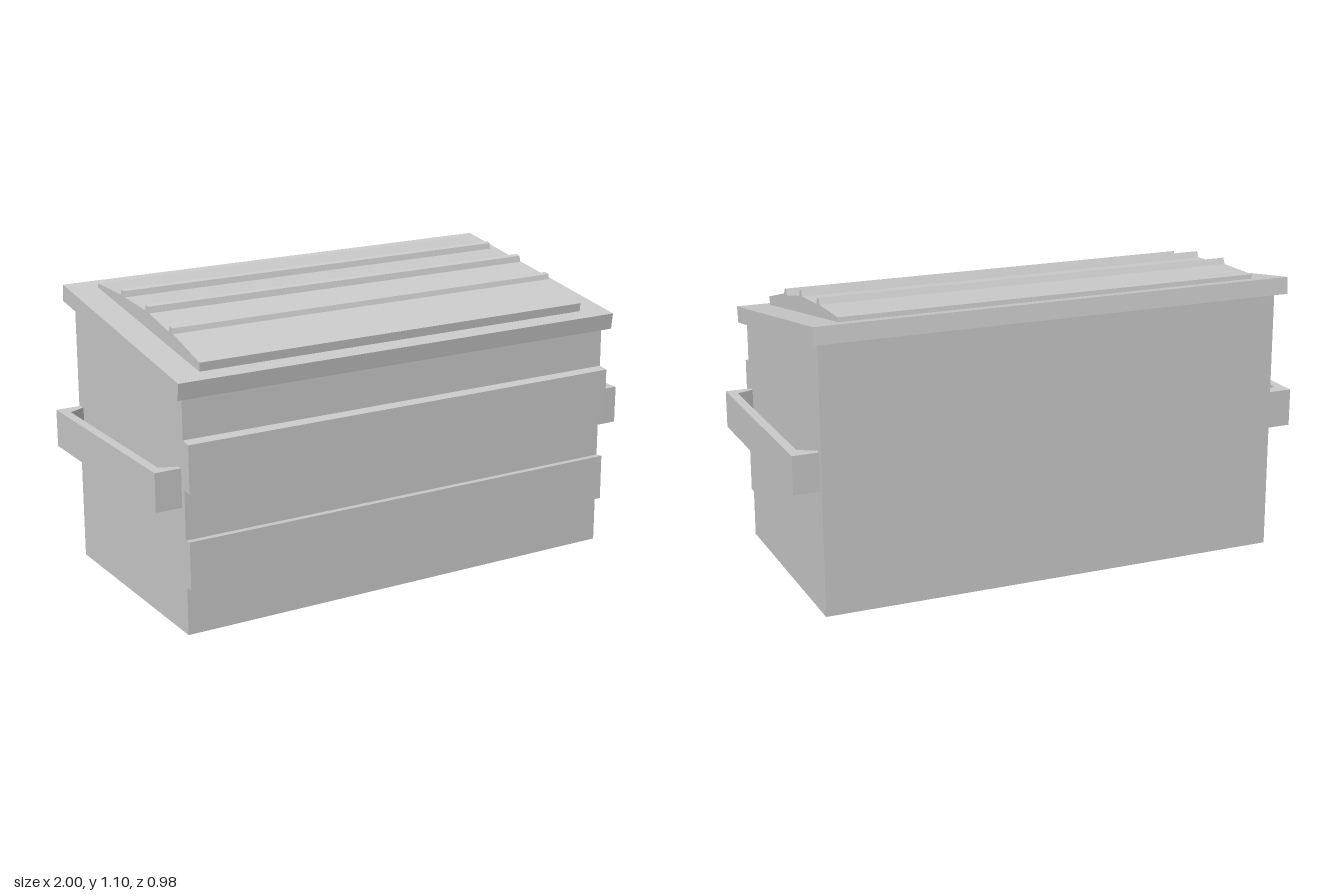
import * as THREE from 'three';

const material = new THREE.MeshStandardMaterial({ color: 0xcccccc, flatShading: true });

const toShape = (points) => new THREE.Shape(points.map(([a, b]) => new THREE.Vector2(a, b)));

function addMesh(group, name, geometry) {
  const mesh = new THREE.Mesh(geometry, material);
  mesh.name = name;
  group.add(mesh);
}

// Side profile of [z, y] points, extruded across the full width in x
function acrossWidth(points, halfWidth) {
  const geometry = new THREE.ExtrudeGeometry(toShape(points), { depth: 2 * halfWidth, bevelEnabled: false });
  return geometry.rotateY(-Math.PI / 2).translate(halfWidth, 0, 0);
}

// Plan outline of [x, z] points, extruded from y0 up to y1
function upward(points, y0, y1) {
  const geometry = new THREE.ExtrudeGeometry(toShape(points), { depth: y1 - y0, bevelEnabled: false });
  return geometry.rotateX(Math.PI / 2).translate(0, y1, 0);
}

export function createModel() {
  const group = new THREE.Group();

  // Container with two raised bands along the front
  addMesh(group, 'container', acrossWidth([
    [-0.44, 0], [0.452, 0],
    [0.451, 0.178], [0.482, 0.181], [0.48, 0.356], [0.45, 0.353],
    [0.449, 0.535], [0.488, 0.532], [0.487, 0.709], [0.447, 0.715],
    [0.445, 0.89], [-0.438, 1.02],
  ], 0.9));

  // Sloping rim that overhangs the container
  addMesh(group, 'rim', acrossWidth([
    [0.471, 0.865], [0.479, 0.927], [-0.48, 1.073], [-0.488, 1.01],
  ], 0.927));

  // Faceted lid, with a small rib at each change of slope
  const lid = [[0.413, 0.92], [0.418, 0.969]];
  for (const [z, y, drop] of [[0.202, 1.025, 0.002], [0.012, 1.062, -0.002], [-0.192, 1.077, -0.001]]) {
    lid.push([z + 0.017, y + drop - 0.003], [z + 0.011, y + 0.018], [z - 0.007, y + 0.023], [z - 0.018, y]);
  }
  lid.push([-0.409, 1.079], [-0.414, 1.045]);
  addMesh(group, 'lid', acrossWidth(lid, 0.815));

  // Lifting brackets: a bar held off each side by its two end blocks
  const bracket = [
    [0.89, 0.428], [1, 0.428], [1, -0.424], [0.89, -0.424],
    [0.89, -0.405], [0.965, -0.367], [0.965, 0.382], [0.89, 0.41],
  ];
  for (const side of [1, -1]) {
    const outline = bracket.map(([x, z]) => [side * x, z]);
    addMesh(group, side > 0 ? 'leftBracket' : 'rightBracket', upward(outline, 0.467, 0.61));
  }

  return group;
}
